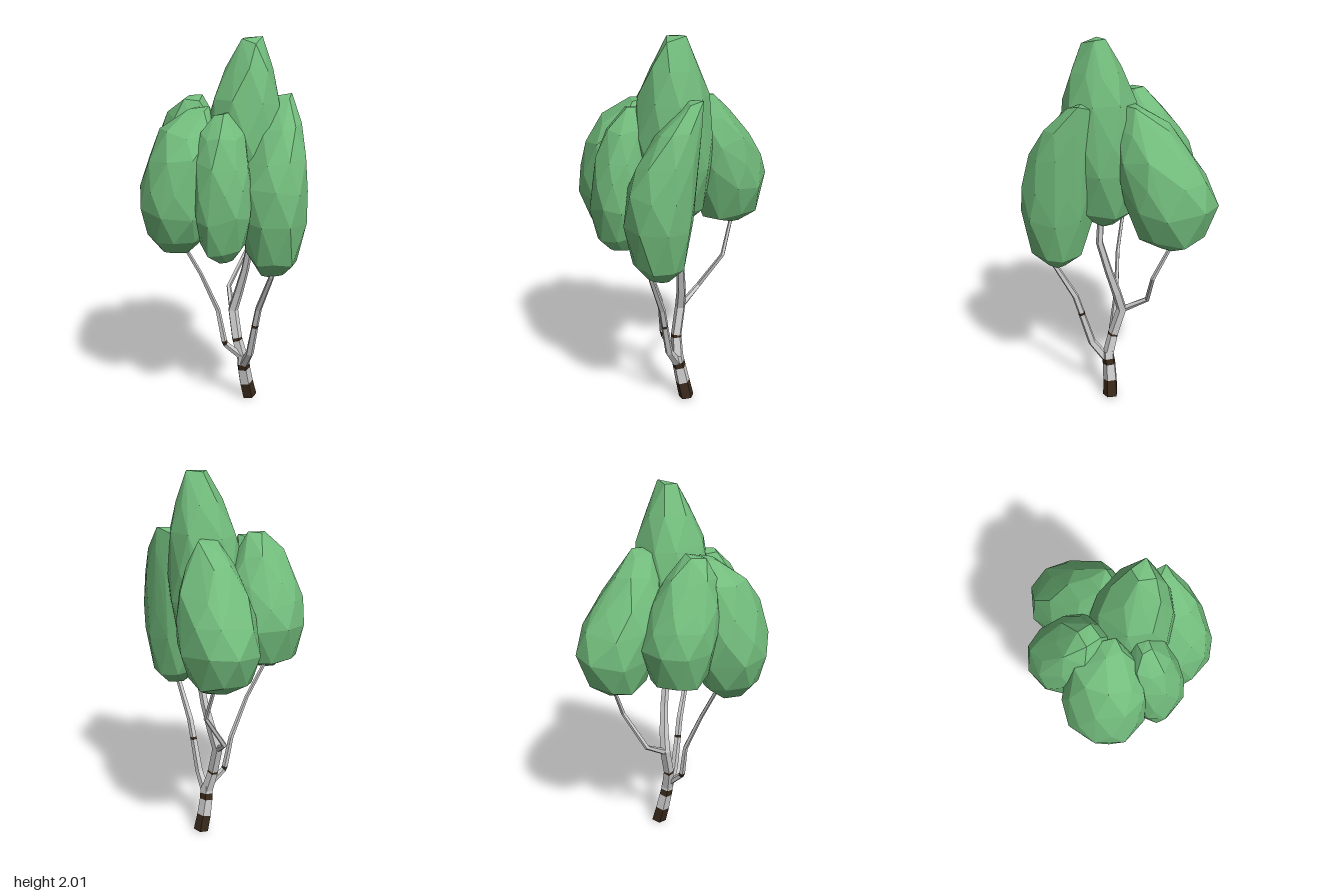
import * as THREE from 'three';
import { ConvexGeometry } from 'three/addons/geometries/ConvexGeometry.js';

const mat = (color) => new THREE.MeshStandardMaterial({ color, flatShading: true });
const leafMat = mat(0x72bc7c);
const barkMat = mat(0xcccccc);
const darkMat = mat(0x38281a);

// Small seeded generator for the faceted irregularity
function seeded(seed) {
  let s = seed * 7919 + 17;
  return () => (s = (s * 16807) % 2147483647) / 2147483647;
}

// Height fraction and radius fraction of a foliage clump
const PROFILE = [[0, 0.34], [0.1, 0.75], [0.32, 1], [0.5, 0.97], [0.68, 0.85], [0.85, 0.58], [1, 0.28]];

// Faceted egg leaning to its top; full widens the shoulders, bend delays the lean
function clump(name, { base, size, y, top, full, bend }, seed) {
  const rand = seeded(seed);
  const points = [];
  PROFILE.forEach(([t, r], ring) => {
    const crown = t === 1;
    const lean = Math.max(0, (t - 0.3) / 0.7) ** bend;
    const cx = THREE.MathUtils.lerp(base[0], top[0], lean);
    const cz = THREE.MathUtils.lerp(base[1], top[1], lean);
    const width = t > 0.3 && !crown ? r ** (1 / full) : r;
    const n = crown ? 4 : 8;
    for (let i = 0; i < n; i++) {
      const a = ((i + (ring % 2) * 0.5 + (rand() - 0.5) * 0.3) / n) * Math.PI * 2;
      const k = width * (0.99 + rand() * 0.05);
      const jitter = t === 0 ? rand() * 0.02 : crown ? -rand() * 0.03 : (rand() - 0.5) * 0.05;
      const dy = i === 0 && (t === 0 || crown) ? 0 : jitter;
      points.push(new THREE.Vector3(
        cx + Math.cos(a) * size[0] * k,
        THREE.MathUtils.lerp(y[0], y[1], t) + dy,
        cz + Math.sin(a) * size[1] * k));
    }
  });
  const mesh = new THREE.Mesh(new ConvexGeometry(points), leafMat);
  mesh.name = name;
  return mesh;
}

// Five-sided limb through [x, y, z, radius] stations; listed segments are dark
function limb(name, stations, darkSegments = []) {
  const sides = 5;
  const centres = stations.map(([x, y, z]) => new THREE.Vector3(x, y, z));
  const up = new THREE.Vector3(0, 1, 0);
  const last = centres.length - 1;
  const rings = centres.map((c, i) => {
    const dir = centres[Math.min(i + 1, last)].clone().sub(centres[Math.max(i - 1, 0)]).normalize();
    const q = new THREE.Quaternion().setFromUnitVectors(up, dir);
    return Array.from({ length: sides }, (_, k) => {
      const a = (k / sides) * Math.PI * 2 + 0.3;
      return new THREE.Vector3(Math.cos(a), 0, Math.sin(a)).multiplyScalar(stations[i][3]).applyQuaternion(q).add(c);
    });
  });
  const light = [], dark = [];
  for (let i = 0; i < last; i++) {
    const out = darkSegments.includes(i) ? dark : light;
    for (let k = 0; k < sides; k++) {
      const n = (k + 1) % sides;
      const [l0, l1, u0, u1] = [rings[i][k], rings[i][n], rings[i + 1][k], rings[i + 1][n]];
      out.push(l0, u0, l1, l1, u0, u1);
    }
  }
  const group = new THREE.Group();
  group.name = name;
  for (const [part, pts, material] of [['Bark', light, barkMat], ['DarkBark', dark, darkMat]]) {
    if (!pts.length) continue;
    const geo = new THREE.BufferGeometry().setFromPoints(pts);
    geo.computeVertexNormals();
    const mesh = new THREE.Mesh(geo, material);
    mesh.name = name + part;
    group.add(mesh);
  }
  return group;
}

export function createModel() {
  const tree = new THREE.Group();
  tree.name = 'tree';

  // Trunk, with a flat closed foot and dark bands
  tree.add(limb('trunk', [
    [0.187, 0, 0.05, 0], [0.187, 0, 0.05, 0.042], [0.186, 0.006, 0.05, 0.042], [0.165, 0.09, 0.053, 0.04],
    [0.147, 0.18, 0.06, 0.037], [0.142, 0.215, 0.066, 0.036], [0.138, 0.26, 0.07, 0.033],
  ], [0, 1, 2, 4]));

  // Main stem up to the centre clump
  tree.add(limb('mainStem', [
    [0.14, 0.225, 0.068, 0.034], [0.115, 0.345, 0.042, 0.03], [0.113, 0.36, 0.04, 0.03],
    [0.108, 0.51, -0.005, 0.029], [0.13, 0.62, 0.02, 0.026], [0.15, 0.76, 0.06, 0.022],
    [0.16, 0.93, 0.105, 0.02], [0.14, 1.15, 0.095, 0.016],
  ], [1]));

  // Branches to the outer clumps
  tree.add(limb('frontBranch', [
    [0.14, 0.22, 0.085, 0.026], [0.142, 0.31, 0.155, 0.022], [0.147, 0.485, 0.207, 0.019],
    [0.148, 0.5, 0.21, 0.019], [0.152, 0.6, 0.24, 0.018], [0.168, 0.82, 0.36, 0.014], [0.17, 0.92, 0.38, 0.012],
  ], [2]));
  tree.add(limb('rightBranch', [
    [0.135, 0.25, 0.07, 0.019], [0.04, 0.34, 0.055, 0.017], [0.032, 0.36, 0.053, 0.017],
    [0.002, 0.54, 0.035, 0.014], [-0.095, 0.76, 0.035, 0.011], [-0.19, 0.94, 0.015, 0.01], [-0.22, 1.02, 0.02, 0.008],
  ], [1]));
  tree.add(limb('backBranch', [
    [0.105, 0.505, -0.005, 0.019], [0.14, 0.595, -0.145, 0.014], [0.265, 0.79, -0.18, 0.012],
    [0.262, 0.98, -0.27, 0.01], [0.26, 1.06, -0.3, 0.008],
  ]));

  // Foliage clumps: base and top centres are [x, z]
  const clumps = {
    centreFoliage: { base: [0.113, 0.088], size: [0.206, 0.21], y: [1.035, 2], top: [0.152, 0.128], full: 1, bend: 1.7 },
    rightFoliage: { base: [-0.246, 0.08], size: [0.185, 0.212], y: [0.915, 1.66], top: [-0.11, 0.06], full: 1.8, bend: 2.4 },
    frontRightFoliage: { base: [-0.072, 0.295], size: [0.148, 0.142], y: [0.915, 1.65], top: [-0.045, 0.205], full: 1.6, bend: 2 },
    frontLeftFoliage: { base: [0.187, 0.318], size: [0.167, 0.184], y: [0.815, 1.72], top: [0.3, 0.18], full: 1.25, bend: 2.4 },
    backLeftFoliage: { base: [0.235, -0.272], size: [0.198, 0.23], y: [0.97, 1.69], top: [0.19, -0.075], full: 0.95, bend: 1.15 },
    backRightFoliage: { base: [-0.085, -0.19], size: [0.195, 0.188], y: [1.035, 1.7], top: [-0.1, -0.045], full: 1.25, bend: 1.3 },
  };
  Object.entries(clumps).forEach(([name, spec], i) => tree.add(clump(name, spec, i + 3)));
  return tree;
}
